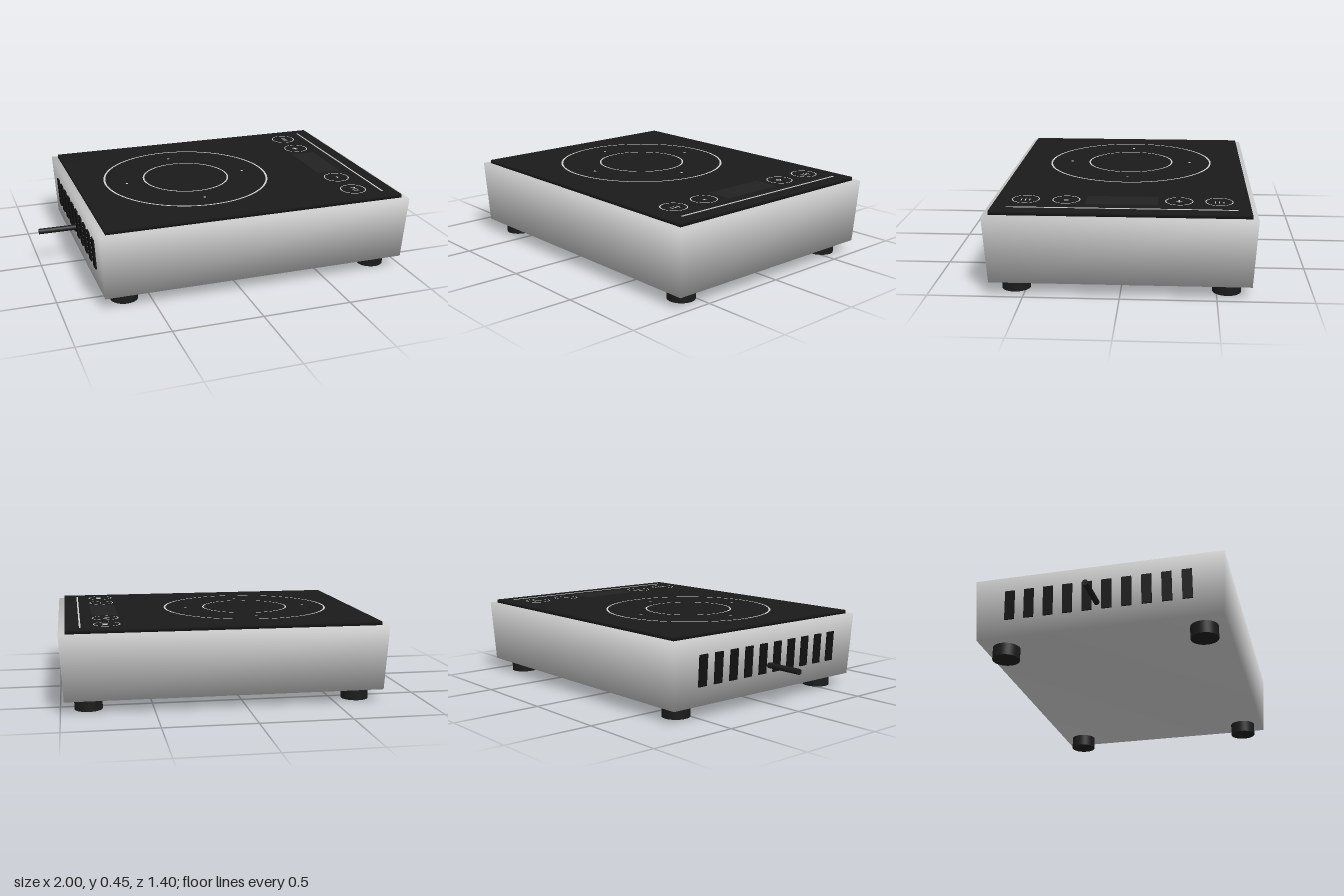
import * as THREE from 'three';
import { mergeVertices } from 'three/addons/utils/BufferGeometryUtils.js';

const material = (name, color) => {
  const m = new THREE.MeshStandardMaterial({ color });
  m.name = name;
  return m;
};

// Softly shaded box between two heights whose top and bottom differ in size
function taperedBox(x, y0, y1, bottom, top) {
  let g = new THREE.BoxGeometry(1, 1, 1);
  g.deleteAttribute('normal');
  g.deleteAttribute('uv');
  g = mergeVertices(g);
  const p = g.attributes.position;
  for (let i = 0; i < p.count; i++) {
    const up = p.getY(i) > 0;
    const [w, d] = up ? top : bottom;
    p.setXYZ(i, x + p.getX(i) * w, up ? y1 : y0, p.getZ(i) * d);
  }
  g.computeVertexNormals();
  return g;
}

export function createModel() {
  const model = new THREE.Group();
  model.name = 'inductionHob';

  const steel = material('brushedSteel', 0xc8c8c8);
  const glass = material('blackGlass', 0x1a1a1a);
  const panel = material('displayGlass', 0x222222);
  const print = material('printedMarks', 0xcccccc);
  const rubber = material('blackRubber', 0x1b1b1b);
  const dark = material('ventBlack', 0x111111);

  const add = (name, geometry, mat, x = 0, y = 0, z = 0, parent = model) => {
    const mesh = new THREE.Mesh(geometry, mat);
    mesh.name = name;
    mesh.position.set(x, y, z);
    parent.add(mesh);
    return mesh;
  };

  // Housing and glass top
  add('housing', taperedBox(0.105, 0.07, 0.43, [1.75, 1.36], [1.79, 1.4]), steel);
  add('glassTop', taperedBox(0.105, 0.43, 0.45, [1.72, 1.34], [1.72, 1.34]), glass);

  // Feet
  for (const x of [-0.64, 0.85]) {
    for (const z of [-0.555, 0.555]) {
      add('foot', new THREE.CylinderGeometry(0.076, 0.076, 0.08, 32), rubber, x, 0.04, z);
    }
  }

  // Flat marks printed on the glass
  const markY = 0.452;
  const ring = (name, radius, width, x, z) => {
    const g = new THREE.RingGeometry(radius - width, radius, 72).rotateX(-Math.PI / 2);
    add(name, g, print, x, markY, z);
  };
  const bar = (name, w, d, x, z, mat = print) =>
    add(name, new THREE.BoxGeometry(w, 0.003, d), mat, x, 0.4505, z);

  // Cooking zone
  const zoneX = -0.11;
  ring('outerZoneRing', 0.488, 0.011, zoneX, 0);
  ring('innerZoneRing', 0.255, 0.009, zoneX, 0);
  for (let i = 0; i < 4; i++) {
    const a = (i * Math.PI) / 2;
    bar('zoneDot', 0.012, 0.012, zoneX + 0.36 * Math.cos(a), 0.36 * Math.sin(a));
  }

  // Control strip
  bar('display', 0.15, 0.38, 0.74, 0, panel);
  bar('controlLine', 0.009, 1.19, 0.885, -0.005);
  for (const z of [-0.51, -0.3, 0.295, 0.51]) ring('buttonRing', 0.074, 0.006, 0.74, z);
  bar('plusMark', 0.036, 0.007, 0.735, -0.3);
  bar('plusMark', 0.007, 0.036, 0.735, -0.3);
  bar('minusMark', 0.007, 0.022, 0.745, 0.295);
  for (const z of [-0.51, 0.51]) {
    for (const dz of [-0.022, 0, 0.022]) bar('buttonTick', 0.028, 0.005, 0.75, z + dz);
  }

  // Ventilation slots follow the slope of the side wall
  for (let i = 0; i < 10; i++) {
    const slot = add('ventSlot', new THREE.BoxGeometry(0.016, 0.17, 0.055), dark,
      -0.781, 0.26, -0.495 + i * 0.11);
    slot.rotation.z = 0.055;
  }

  // Power cable
  const cable = new THREE.CylinderGeometry(0.016, 0.016, 0.24, 20).rotateZ(Math.PI / 2);
  add('powerCable', cable, rubber, -0.88, 0.216, 0);

  return model;
}
